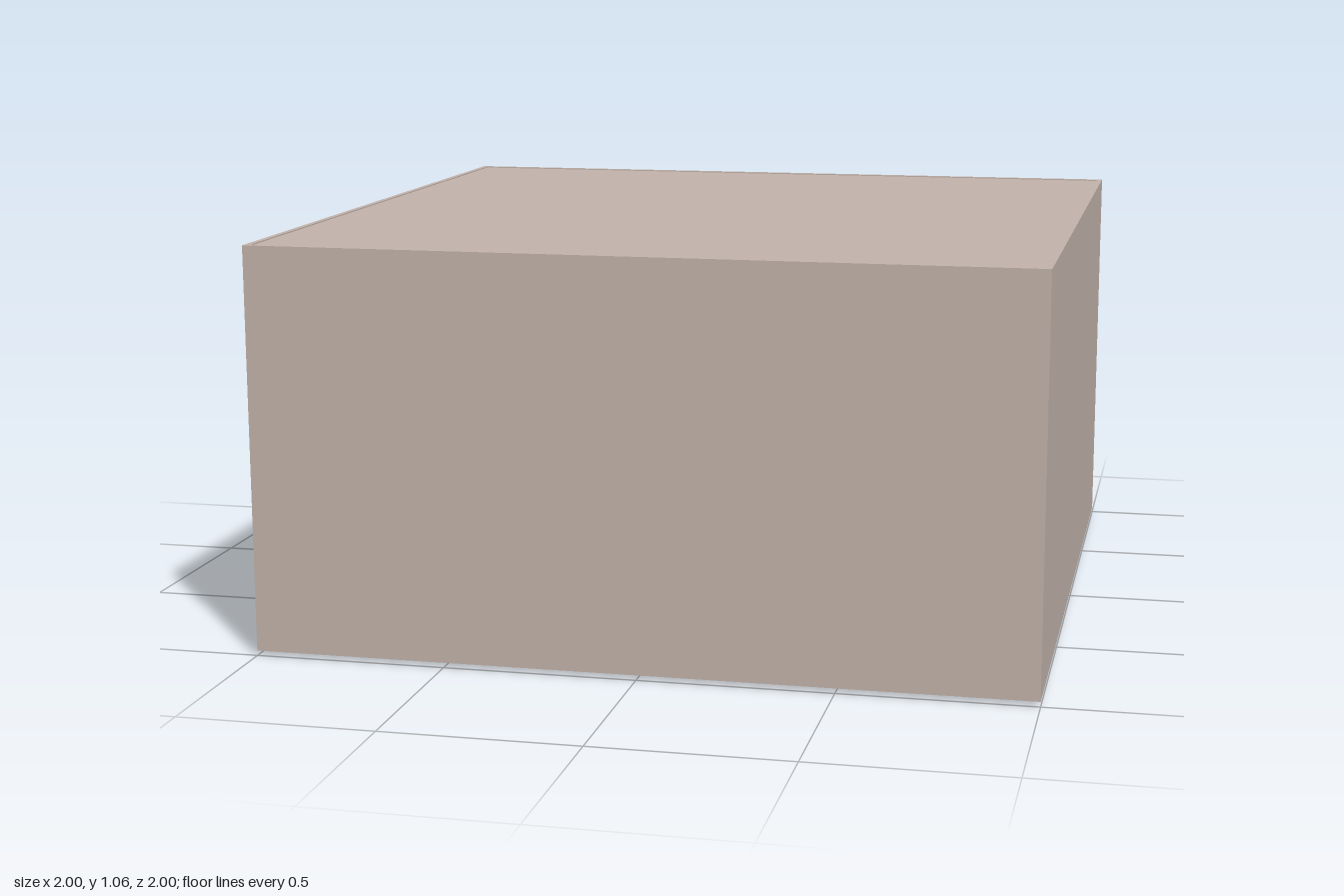
import * as THREE from 'three';

const BASE = 0.013, TOP = 1.06, T = 0.015; // underside, roof height, wall thickness
const wallMat = new THREE.MeshStandardMaterial({ color: 0xc4b5ac });
const frameMat = new THREE.MeshStandardMaterial({ color: 0xdfd884 });
const greyMat = new THREE.MeshStandardMaterial({ color: 0xcccccc });

// Box given by its minimum and maximum on each axis
function box(name, mat, [x0, x1], [y0, y1], [z0, z1]) {
  const mesh = new THREE.Mesh(new THREE.BoxGeometry(x1 - x0, y1 - y0, z1 - z0), mat);
  mesh.position.set((x0 + x1) / 2, (y0 + y1) / 2, (z0 + z1) / 2);
  mesh.name = name;
  return mesh;
}

// Flat upright panel from an outline, starting at depth z
function panel(name, mat, points, depth, z) {
  const shape = new THREE.Shape(points.map(([x, y]) => new THREE.Vector2(x, y)));
  const mesh = new THREE.Mesh(new THREE.ExtrudeGeometry(shape, { depth, bevelEnabled: false }), mat);
  mesh.position.z = z;
  mesh.name = name;
  return mesh;
}

// Outline of an upside-down U: outer half width and top, inner half width and top
function arch(w, top, iw, itop) {
  return [[-w, BASE], [-iw, BASE], [-iw, itop], [iw, itop], [iw, BASE], [w, BASE], [w, top], [-w, top]];
}

export function createModel() {
  const room = new THREE.Group();
  room.name = 'room';

  // Shell: floor, roof and three plain walls
  const inner = [-1 + T, 1 - T];
  room.add(box('floor', wallMat, inner, [BASE, BASE + T], [-0.998 + T, 1 - T]));
  room.add(box('roof', wallMat, inner, [TOP - T, TOP - 0.003], [-0.998 + T, 1 - T]));
  room.add(box('frontWall', wallMat, [-1, 1], [BASE, TOP], [1 - T, 1]));
  for (const [name, x] of [['leftWall', 1 - T], ['rightWall', -1]]) {
    room.add(box(name, wallMat, [x, x + T], [BASE, TOP], [-0.998 + T, 1 - T]));
  }

  // Back wall with the doorway, and its frame
  room.add(panel('backWall', wallMat, arch(1, TOP, 0.17, 0.63), T, -0.998));
  room.add(panel('doorFrame', frameMat, arch(0.2, 0.65, 0.15, 0.61), 0.02, -1));

  // Tall units across the room, joined by a thin centre panel
  for (const [name, x] of [['leftUnit', 0.2], ['rightUnit', -0.97]]) {
    room.add(box(name, greyMat, [x, x + 0.77], [BASE + 0.001, 0.885], [-0.39, -0.2]));
  }
  room.add(box('centrePanel', greyMat, [-0.2, 0.2], [BASE + 0.001, 0.885], [-0.32, -0.28]));

  // Low cabinet beside the doorway, reaching just below the floor
  room.add(box('lowCabinet', greyMat, [0.35, 0.925], [0, 0.4], [-0.965, -0.83]));

  return room;
}
